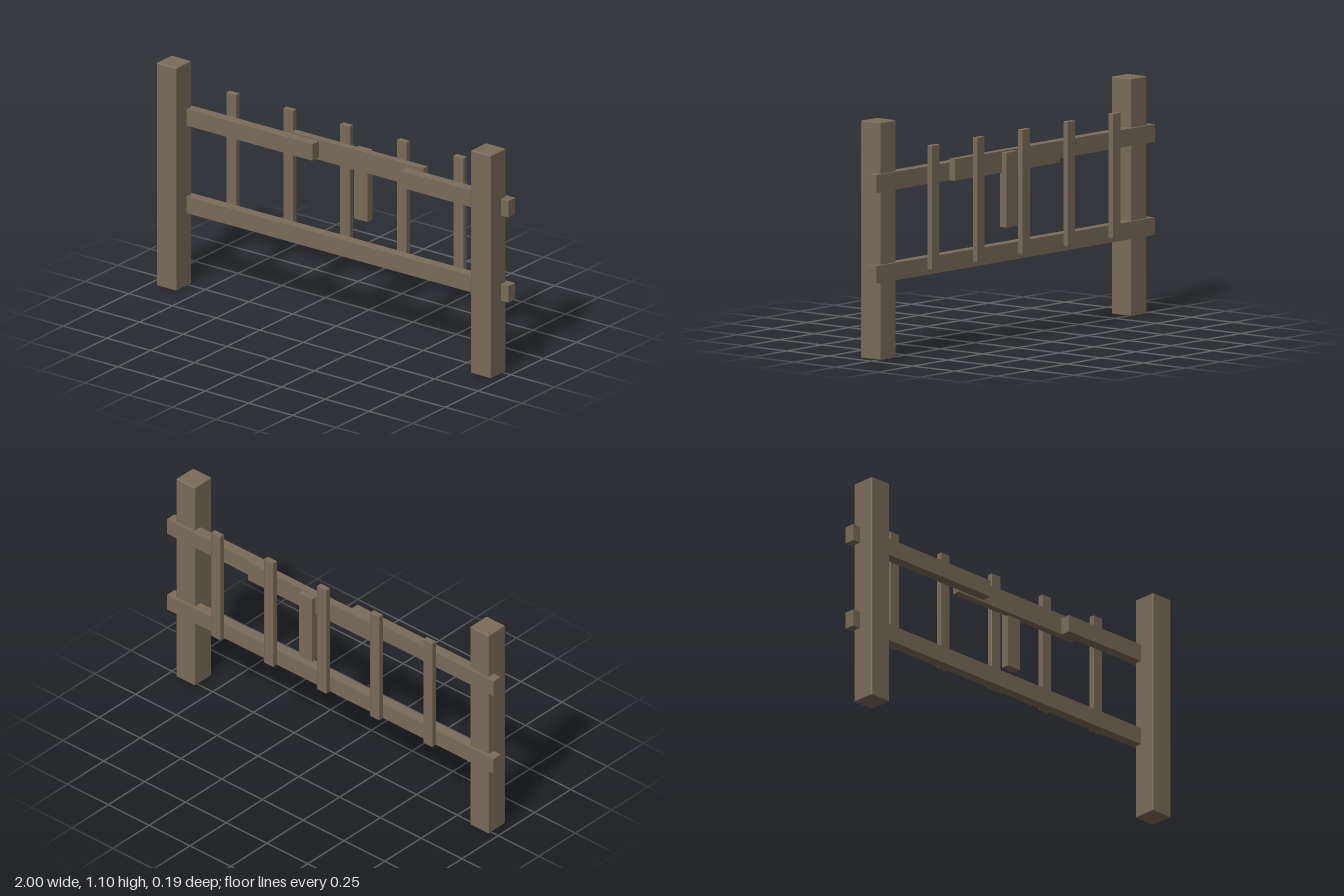
import * as THREE from 'three';
import { RoundedBoxGeometry } from 'three/addons/geometries/RoundedBoxGeometry.js';

export function createModel() {
  const fence = new THREE.Group();
  fence.name = 'fence';
  const wood = new THREE.MeshStandardMaterial({ color: 0x7a6c59 });
  wood.name = 'weathered wood';

  // A beam given by its extents on each axis, with an optional small bevel
  function beam(name, [x0, x1], [y0, y1], [z0, z1], bevel = 0) {
    const size = [x1 - x0, y1 - y0, z1 - z0];
    const geometry = bevel
      ? new RoundedBoxGeometry(...size, 1, bevel)
      : new THREE.BoxGeometry(...size);
    const mesh = new THREE.Mesh(geometry, wood);
    mesh.name = name;
    mesh.position.set((x0 + x1) / 2, (y0 + y1) / 2, (z0 + z1) / 2);
    fence.add(mesh);
  }

  // Posts stand in front of the rails
  beam('rightPost', [-0.958, -0.844], [0, 1.1], [-0.02, 0.096], 0.005);
  beam('leftPost', [0.842, 0.956], [0, 1.1], [-0.02, 0.096], 0.005);

  // Lower rail, and an upper rail broken in two
  const railDepth = [-0.033, 0.018];
  beam('lowerRail', [-1, 1], [0.361, 0.442], railDepth);
  beam('upperRailRight', [-1, -0.122], [0.792, 0.873], railDepth);
  beam('upperRailLeft', [0.38, 1], [0.781, 0.863], railDepth);

  // Board bridging the gap, and the short loose slat behind it
  beam('patchBoard', [-0.28, 0.476], [0.781, 0.881], [-0.066, -0.03]);
  beam('shortSlat', [0.06, 0.138], [0.529, 0.875], [-0.093, -0.054]);

  // Evenly spaced pickets at the back
  for (let i = -2; i <= 2; i++) {
    const x = -0.002 + i * 0.325;
    beam('picket', [x - 0.028, x + 0.028], [0.393, 0.969], [-0.095, -0.068], 0.002);
  }

  return fence;
}
